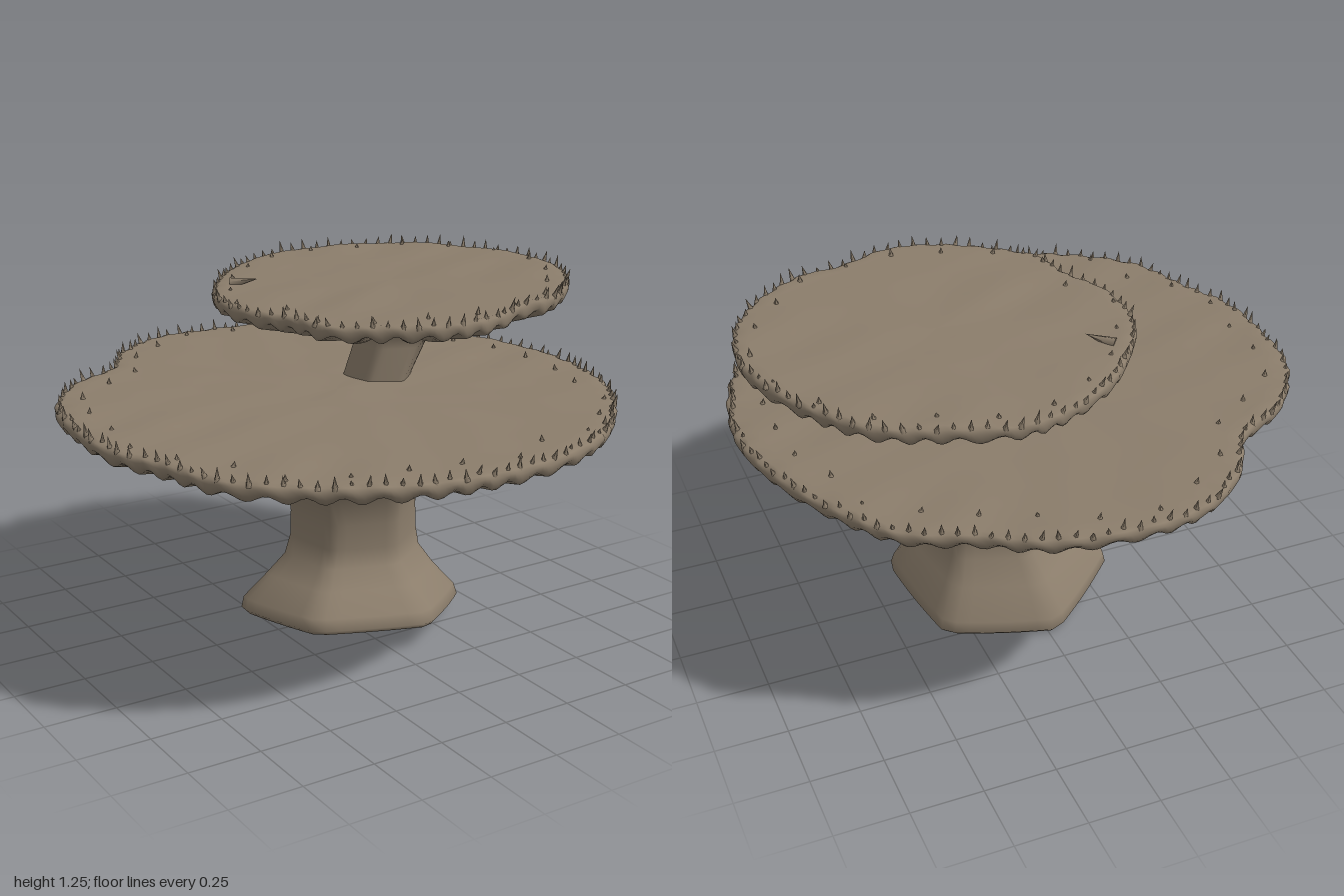
import * as THREE from 'three';
import { mergeGeometries } from 'three/addons/utils/BufferGeometryUtils.js';

// small seeded random
function seeded(seed) {
  return () => {
    seed = (seed * 16807) % 2147483647;
    return seed / 2147483647;
  };
}

// skin closed rings of points, ordered from the top centre outward and down
function loft(rings) {
  const n = rings[0].length;
  const pos = [], idx = [];
  rings.forEach(r => r.forEach(p => pos.push(p.x, p.y, p.z)));
  for (let k = 0; k < rings.length - 1; k++) {
    for (let i = 0; i < n; i++) {
      const j = (i + 1) % n;
      const a = k * n + i, b = k * n + j, c = a + n, d = b + n;
      idx.push(a, b, c, b, d, c);
    }
  }
  const g = new THREE.BufferGeometry();
  g.setAttribute('position', new THREE.Float32BufferAttribute(pos, 3));
  g.setIndex(idx);
  g.computeVertexNormals();
  return g;
}

// rim outline, evenly spaced around the plate
function outlinePoints(list, count) {
  const curve = new THREE.CatmullRomCurve3(list.map(([x, z]) => new THREE.Vector3(x, 0, z)), true);
  curve.arcLengthDivisions = 600;
  return curve.getSpacedPoints(count).slice(0, count);
}

// plate: smooth top, rounded rim, gilled underside sloping to the stem
function plateGeometry(o) {
  const n = o.gills * 6;
  const rim = outlinePoints(o.outline, n);
  const wave = s => {
    const a = s * Math.PI * 2;
    return Math.sin(a * o.gills + 0.9 * Math.sin(a * 7) + 0.7 * Math.sin(a * 11 + 1));
  };
  // [radius fraction, height below the top, gill depth, bump height]
  const rows = [];
  [0, 0.12, 0.25, 0.4, 0.55, 0.7, 0.82, 0.92, 0.975].forEach(t => rows.push([t, 0, 0, t ? 0.003 : 0]));
  rows.push([0.993, 0.006, 0.002, 0], [1, 0.018, 0.005, 0], [0.998, 0.036, 0.008, 0], [0.985, o.edge, 0.012, 0]);
  for (let k = 1; k <= 8; k++) {
    const f = k / 8;
    rows.push([0.985 + (o.inner - 0.985) * f, o.edge + (o.depth - o.edge) * f,
      0.012 + 0.013 * Math.sin(f * Math.PI * 0.8), 0]);
  }
  rows.push([0, o.depth - 0.03, 0, 0]);
  return loft(rows.map(([t, drop, gill, bump]) => rim.map((p, i) => {
    const s = i / n, w = wave(s);
    const swell = 1 + (t > 0.97 ? 0.004 * w : 0);
    const x = o.cx + (p.x - o.cx) * t * swell;
    const z = o.cz + (p.z - o.cz) * t * swell;
    const rough = bump * (Math.sin(x * 17 + 2 * Math.sin(z * 9)) + Math.sin(z * 21 + x * 8)) * 0.6;
    return new THREE.Vector3(x, o.top(x, z) - drop + gill * w + rough, z);
  })));
}

// little spines standing along the rim, with a few strays further in
function spineGeometry(o, rand) {
  const rim = outlinePoints(o.outline, o.spines);
  const parts = [];
  const add = (p, t, size, lean) => {
    const x = o.cx + (p.x - o.cx) * t, z = o.cz + (p.z - o.cz) * t;
    const h = size * (0.7 + 0.6 * rand());
    const cone = new THREE.ConeGeometry(0.011, h, 5);
    cone.translate(0, h / 2 - 0.008, 0);
    const out = new THREE.Vector3(p.x - o.cx, 0, p.z - o.cz).normalize().multiplyScalar(lean);
    out.add(new THREE.Vector3((rand() - 0.5) * 0.4, 1, (rand() - 0.5) * 0.4)).normalize();
    cone.applyQuaternion(new THREE.Quaternion().setFromUnitVectors(new THREE.Vector3(0, 1, 0), out));
    cone.translate(x, o.top(x, z) - (t > 0.97 ? 0.006 : 0), z);
    parts.push(cone);
  };
  rim.forEach((p, i) => {
    add(p, 0.975 + 0.018 * rand(), 0.042, 0.2);
    if (i % 4 === 0) add(p, 0.86 + 0.1 * rand(), 0.028, 0);
  });
  return mergeGeometries(parts);
}

// stem: softened six-sided rings [y, centre x, centre z, radius x, radius z, tilt]
function stemGeometry(rows, turn, sharp) {
  const n = 48;
  const ring = ([y, cx, cz, rx, rz, tilt]) => Array.from({ length: n }, (_, i) => {
    const a = (i / n) * Math.PI * 2;
    const sixth = Math.PI / 3;
    const m = (((a - turn) % sixth) + sixth) % sixth - sixth / 2;
    const r = 1 - sharp + sharp * Math.cos(sixth / 2) / Math.cos(m) * 1.05;
    const x = cx + rx * r * Math.cos(a), z = cz + rz * r * Math.sin(a);
    return new THREE.Vector3(x, Math.max(0, y + tilt * (0.11 * z - 0.05 * x)), z);
  });
  return loft(rows.map(ring));
}

export function createModel() {
  const model = new THREE.Group();
  const coral = new THREE.MeshStandardMaterial({ color: 0x8b7d6b });
  coral.name = 'dull brown';
  const rand = seeded(77);
  const add = (name, geometry) => {
    const mesh = new THREE.Mesh(geometry, coral);
    mesh.name = name;
    model.add(mesh);
    return mesh;
  };

  const lower = {
    cx: 0, cz: 0, gills: 54, spines: 120, edge: 0.052, depth: 0.16, inner: 0.33,
    top: (x, z) => 0.866 - 0.018 * z - 0.006 * x,
    outline: [[0.97, 0], [0.94, 0.25], [0.87, 0.44], [0.74, 0.62], [0.5, 0.84], [0.25, 0.95], [0, 0.985],
      [-0.3, 0.955], [-0.6, 0.82], [-0.8, 0.64], [-0.89, 0.4], [-0.97, 0.2], [-0.975, -0.05], [-0.94, -0.28],
      [-0.78, -0.51], [-0.57, -0.64], [-0.46, -0.81], [-0.27, -0.95], [-0.05, -0.985], [0.25, -0.935],
      [0.45, -0.82], [0.65, -0.72], [0.81, -0.5], [0.92, -0.25]],
  };
  const upper = {
    cx: 0.31, cz: -0.13, gills: 40, spines: 80, edge: 0.048, depth: 0.125, inner: 0.36,
    top: (x, z) => 1.186 + 0.028 * x - 0.015 * z,
    outline: [[0.96, -0.1], [0.92, 0.1], [0.8, 0.27], [0.61, 0.405], [0.49, 0.42], [0.28, 0.505], [0.1, 0.49],
      [-0.1, 0.38], [-0.22, 0.27], [-0.25, 0.12], [-0.33, -0.05], [-0.32, -0.3], [-0.2, -0.5], [-0.07, -0.64],
      [0.13, -0.755], [0.28, -0.785], [0.5, -0.73], [0.7, -0.64], [0.85, -0.45], [0.94, -0.25]],
  };

  add('lowerPlate', plateGeometry(lower));
  add('lowerSpines', spineGeometry(lower, rand));
  add('upperPlate', plateGeometry(upper));
  add('upperSpines', spineGeometry(upper, rand));

  // main stem, flaring into the plate and into a tilted foot
  add('lowerStem', stemGeometry([
    [0.76, 0, 0.02, 0, 0, 0], [0.74, 0, 0.02, 0.3, 0.34, 0], [0.70, 0, 0.015, 0.36, 0.38, 0],
    [0.66, 0, 0.015, 0.34, 0.345, 0], [0.60, 0.025, 0.01, 0.28, 0.275, 0],
    [0.53, 0.06, 0.005, 0.23, 0.23, 0], [0.42, 0.065, 0.005, 0.225, 0.215, 0],
    [0.33, 0.065, 0.005, 0.228, 0.215, 0], [0.26, 0.06, 0.005, 0.245, 0.225, 0.2],
    [0.19, 0.05, 0.01, 0.3, 0.295, 0.6], [0.105, 0.04, 0.02, 0.38, 0.38, 1],
    [0.065, 0.04, 0.025, 0.39, 0.393, 1], [0.05, 0.04, 0.025, 0.375, 0.38, 1], [0.04, 0.04, 0.025, 0, 0, 1],
  ], 0.35, 0.85));

  // leaning upper stem, passing through the lower plate
  add('upperStem', stemGeometry([
    [1.12, 0.32, -0.1, 0, 0, 0], [1.1, 0.335, -0.1, 0.24, 0.24, 0], [1.065, 0.335, -0.1, 0.2, 0.195, 0],
    [1.03, 0.315, -0.1, 0.155, 0.155, 0], [0.98, 0.288, -0.1, 0.13, 0.135, 0],
    [0.87, 0.235, -0.1, 0.12, 0.132, 0], [0.74, 0.225, -0.1, 0.12, 0.11, 0],
    [0.65, 0.225, -0.11, 0.115, 0.085, 0], [0.63, 0.225, -0.11, 0.1, 0.07, 0], [0.63, 0.225, -0.11, 0, 0, 0],
  ], 0.35, 0.8));

  // small shard lying on the upper plate
  const shard = add('shard', new THREE.ConeGeometry(0.022, 0.1, 5));
  shard.position.set(-0.15, 1.195, -0.39);
  shard.quaternion.setFromUnitVectors(new THREE.Vector3(0, 1, 0), new THREE.Vector3(0.75, 0.2, 0.6).normalize());

  return model;
}
